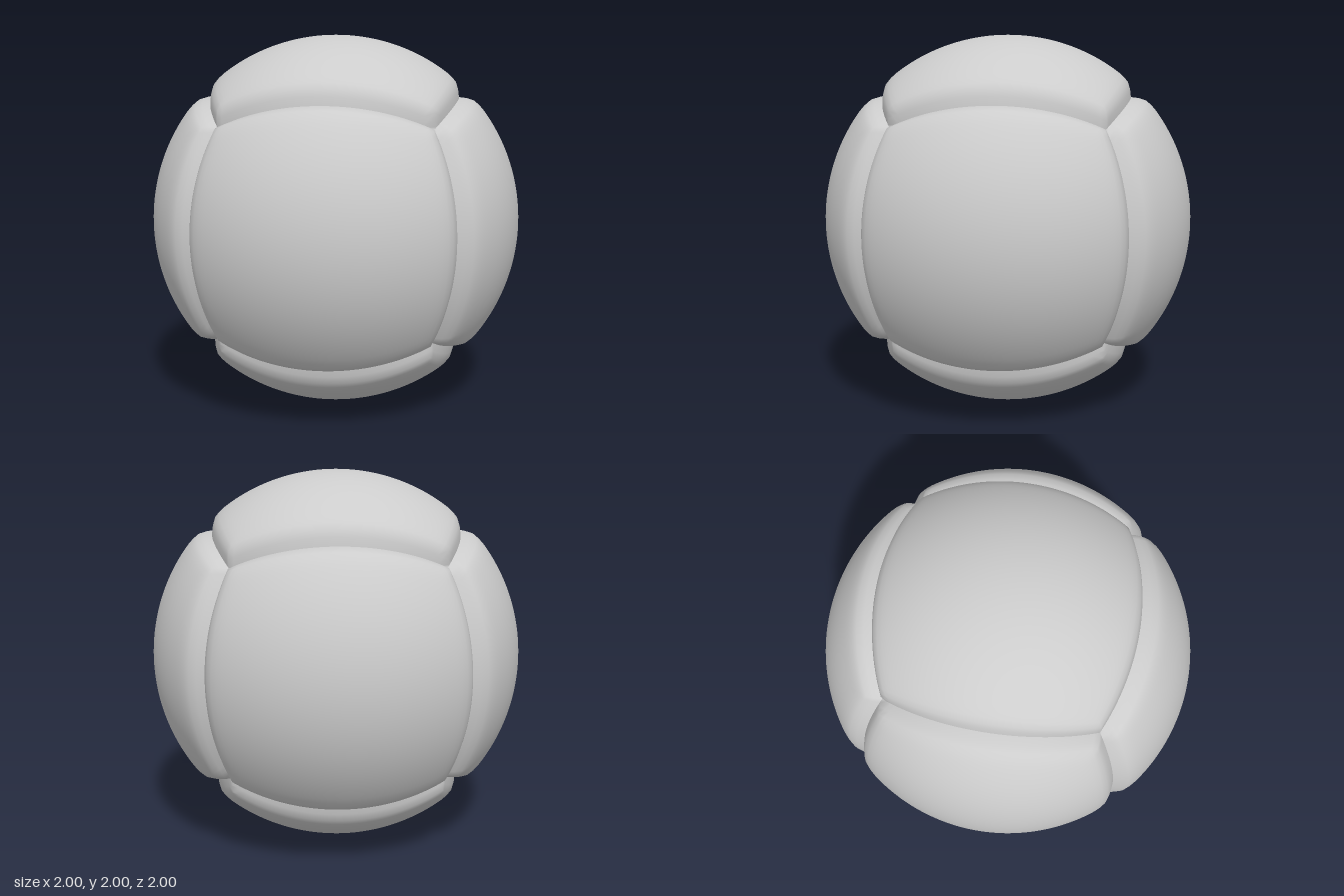
import * as THREE from 'three';

const SEGMENTS = 44;        // grid cells along each panel side
const SEAM_RADIUS = 0.943;  // radius at the bottom of the grooves

// Radius as a function of the angle (degrees) from the nearest seam
const profile = [[0, SEAM_RADIUS], [2, 0.97], [4, 0.991], [6, 0.9975], [8.5, 1], [90, 1]];

function radiusAt(angle) {
  for (let i = 1; i < profile.length; i++) {
    const [a0, r0] = profile[i - 1], [a1, r1] = profile[i];
    if (angle <= a1) return r0 + (r1 - r0) * (angle - a0) / (a1 - a0);
  }
  return 1;
}

// One padded panel facing +z: a square grid wrapped onto a sixth of the ball
function panelGeometry() {
  const geometry = new THREE.PlaneGeometry(2, 2, SEGMENTS, SEGMENTS);
  const pos = geometry.attributes.position;
  const p = new THREE.Vector3();
  for (let i = 0; i < pos.count; i++) {
    const u = pos.getX(i), v = pos.getY(i);
    const fromSeam = 45 * Math.max(0, 1 - Math.max(Math.abs(u), Math.abs(v)));
    p.set(Math.tan(u * Math.PI / 4), Math.tan(v * Math.PI / 4), 1);
    p.setLength(radiusAt(fromSeam));
    pos.setXYZ(i, p.x, p.y, p.z);
  }
  geometry.computeVertexNormals();
  return geometry;
}

export function createModel() {
  const model = new THREE.Group();
  model.name = 'paneledBall';
  const lightGrey = new THREE.MeshStandardMaterial({ color: 0xcccccc });
  lightGrey.name = 'lightGrey';

  // Six identical panels, one for each direction
  const geometry = panelGeometry();
  const q = Math.PI / 2;
  const panels = [
    ['frontPanel', 0, 0], ['leftPanel', 0, q], ['backPanel', 0, 2 * q],
    ['rightPanel', 0, -q], ['topPanel', -q, 0], ['bottomPanel', q, 0],
  ];
  for (const [name, rx, ry] of panels) {
    const panel = new THREE.Mesh(geometry, lightGrey);
    panel.name = name;
    panel.rotation.set(rx, ry, 0);
    panel.position.y = 1;
    model.add(panel);
  }
  return model;
}
